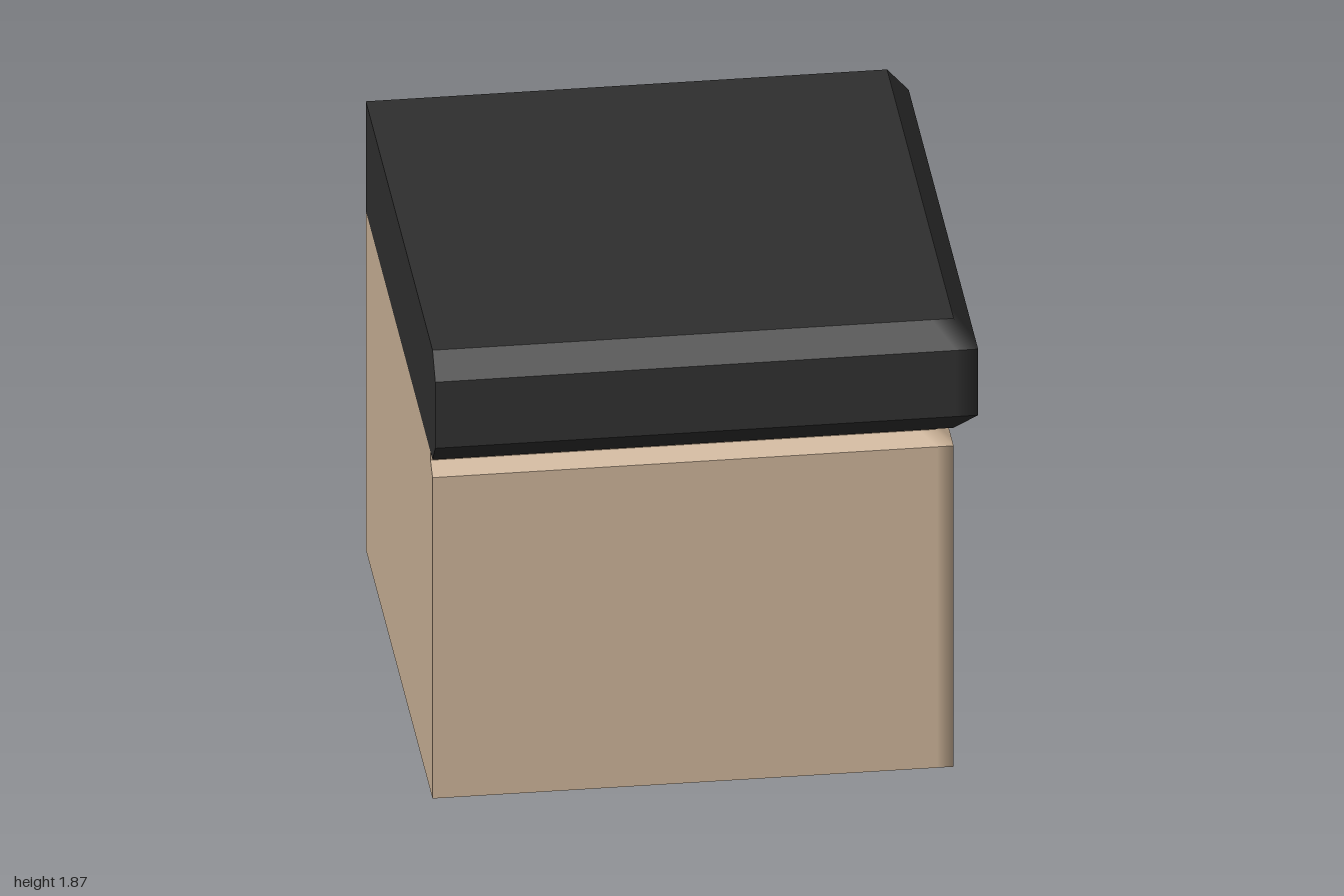
import * as THREE from 'three';

// Lofts a block whose back and left sides are flat at -1, while the front and
// right sides follow a profile of [reach, height] points. "soft" is the width
// over which the shading turns around the front corner.
function cornerBlock(profile, soft, material, name) {
  const positions = [], normals = [];
  const quad = (corners, dirs) => {
    for (const i of [0, 1, 2, 0, 2, 3]) {
      positions.push(...corners[i]);
      normals.push(...new THREE.Vector3(...dirs[i]).normalize().toArray());
    }
  };
  const d = Math.SQRT1_2;

  // Plan outline, as functions of the reach, with horizontal normals
  const front = [
    { at: () => -1, az: e => e, n: [0, 1] },
    { at: e => e - soft, az: e => e, n: [0, 1] },
    { at: e => e, az: e => e, n: [d, d] },
    { at: e => e, az: e => e - soft, n: [1, 0] },
    { at: e => e, az: () => -1, n: [1, 0] },
  ];
  for (let i = 0; i < profile.length - 1; i++) {
    const [e0, y0] = profile[i], [e1, y1] = profile[i + 1];
    const rise = y1 - y0, lean = e0 - e1;

    // Front and right bands
    for (let k = 0; k < front.length - 1; k++) {
      const a = front[k], b = front[k + 1];
      const na = [a.n[0] * rise, lean, a.n[1] * rise];
      const nb = [b.n[0] * rise, lean, b.n[1] * rise];
      quad([
        [a.at(e0), y0, a.az(e0)], [b.at(e0), y0, b.az(e0)],
        [b.at(e1), y1, b.az(e1)], [a.at(e1), y1, a.az(e1)],
      ], [na, nb, nb, na]);
    }

    // Flat back and left
    quad([[e0, y0, -1], [-1, y0, -1], [-1, y1, -1], [e1, y1, -1]], Array(4).fill([0, 0, -1]));
    quad([[-1, y0, -1], [-1, y0, e0], [-1, y1, e1], [-1, y1, -1]], Array(4).fill([-1, 0, 0]));
  }

  // Bottom and top
  const [eb, yb] = profile[0], [et, yt] = profile[profile.length - 1];
  quad([[-1, yb, -1], [eb, yb, -1], [eb, yb, eb], [-1, yb, eb]], Array(4).fill([0, -1, 0]));
  quad([[-1, yt, et], [et, yt, et], [et, yt, -1], [-1, yt, -1]], Array(4).fill([0, 1, 0]));

  const geometry = new THREE.BufferGeometry();
  geometry.setAttribute('position', new THREE.Float32BufferAttribute(positions, 3));
  geometry.setAttribute('normal', new THREE.Float32BufferAttribute(normals, 3));
  const mesh = new THREE.Mesh(geometry, material);
  mesh.name = name;
  return mesh;
}

export function createModel() {
  const tan = new THREE.MeshStandardMaterial({ color: 0xcbb297 });
  tan.name = 'tan';
  const black = new THREE.MeshStandardMaterial({ color: 0x2f2f2f });
  black.name = 'black';

  const model = new THREE.Group();
  model.name = 'cornerCabinet';
  // Cabinet body with a stepped-in neck
  model.add(cornerBlock([[0.92, 0], [0.92, 1.335], [0.86, 1.375], [0.86, 1.41]], 0.06, tan, 'cabinetBody'));
  // Worktop with chamfered front and right edges
  model.add(cornerBlock([[0.92, 1.41], [1, 1.5], [1, 1.775], [0.92, 1.865]], 0.08, black, 'worktop'));
  return model;
}
